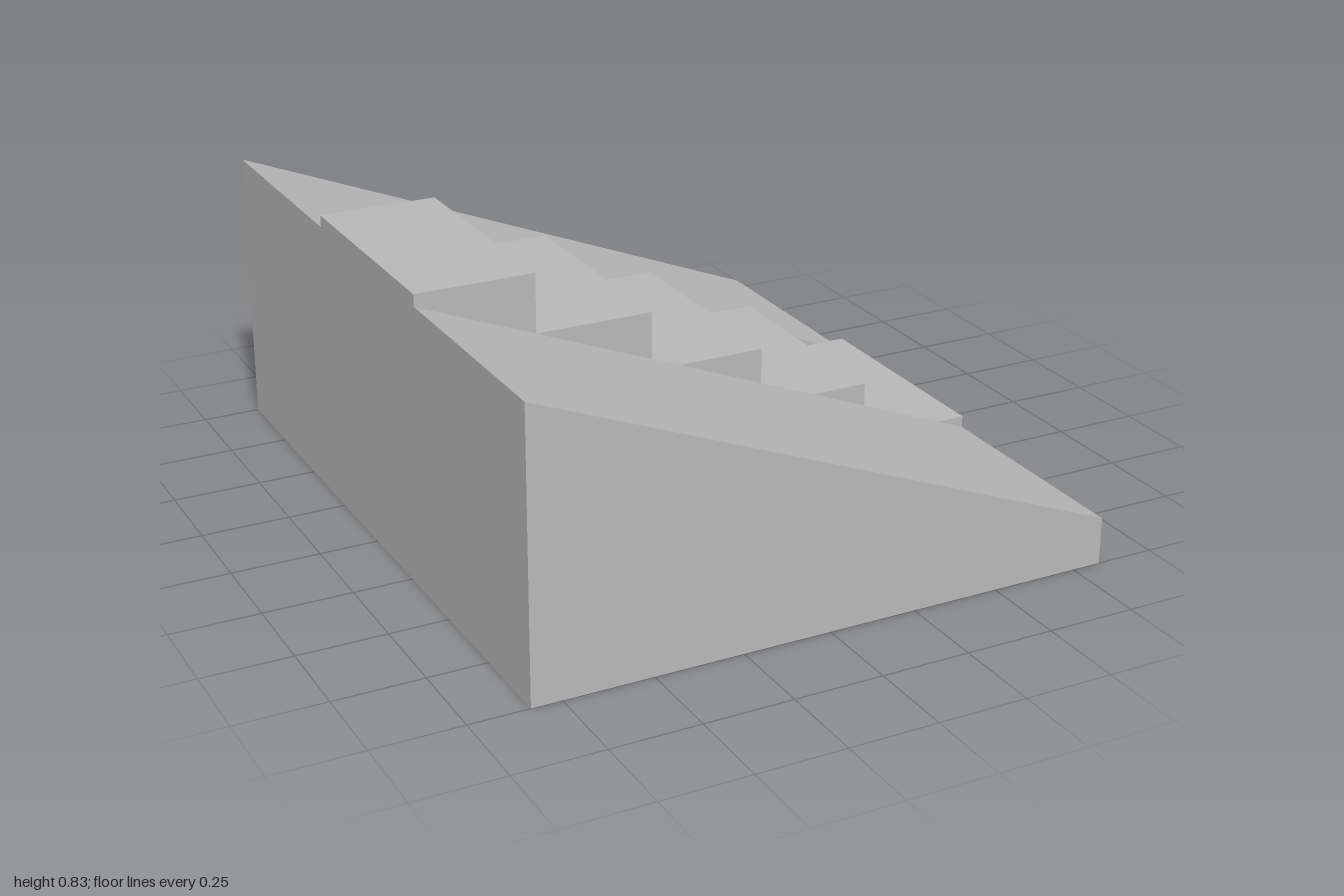
import * as THREE from 'three';

const STEPS = 5;
const HALF = 5 / 6;          // half the run along x
const TREAD = (2 * HALF) / STEPS;
const RISE = 1 / 6;
const WIDTH = 2 / 3;         // stairs and each ramp share this width

// Extrudes a side profile along z, centred on the given z
function slab(name, points, z, material) {
  const shape = new THREE.Shape(points.map(([x, y]) => new THREE.Vector2(x, y)));
  const geometry = new THREE.ExtrudeGeometry(shape, { depth: WIDTH, bevelEnabled: false });
  geometry.translate(0, 0, z - WIDTH / 2);
  const mesh = new THREE.Mesh(geometry, material);
  mesh.name = name;
  return mesh;
}

export function createModel() {
  const group = new THREE.Group();
  group.name = 'stairsWithRamps';
  const stone = new THREE.MeshStandardMaterial({ color: 0xb8b8b8 });
  stone.name = 'grey stone';

  // Sloping ramps on both sides of the stairs
  const ramp = [[-HALF, 0], [HALF, 0], [HALF, 0.8 * RISE], [-HALF, 0.8]];
  group.add(slab('frontRamp', ramp, WIDTH, stone));
  group.add(slab('backRamp', ramp, -WIDTH, stone));

  // Stairs rising towards -x
  const stairs = [[-HALF, 0], [HALF, 0]];
  for (let i = 0; i < STEPS; i++) {
    const x = HALF - i * TREAD;
    const y = (i + 1) * RISE;
    stairs.push([x, y], [x - TREAD, y]);
  }
  group.add(slab('stairs', stairs, 0, stone));

  return group;
}
